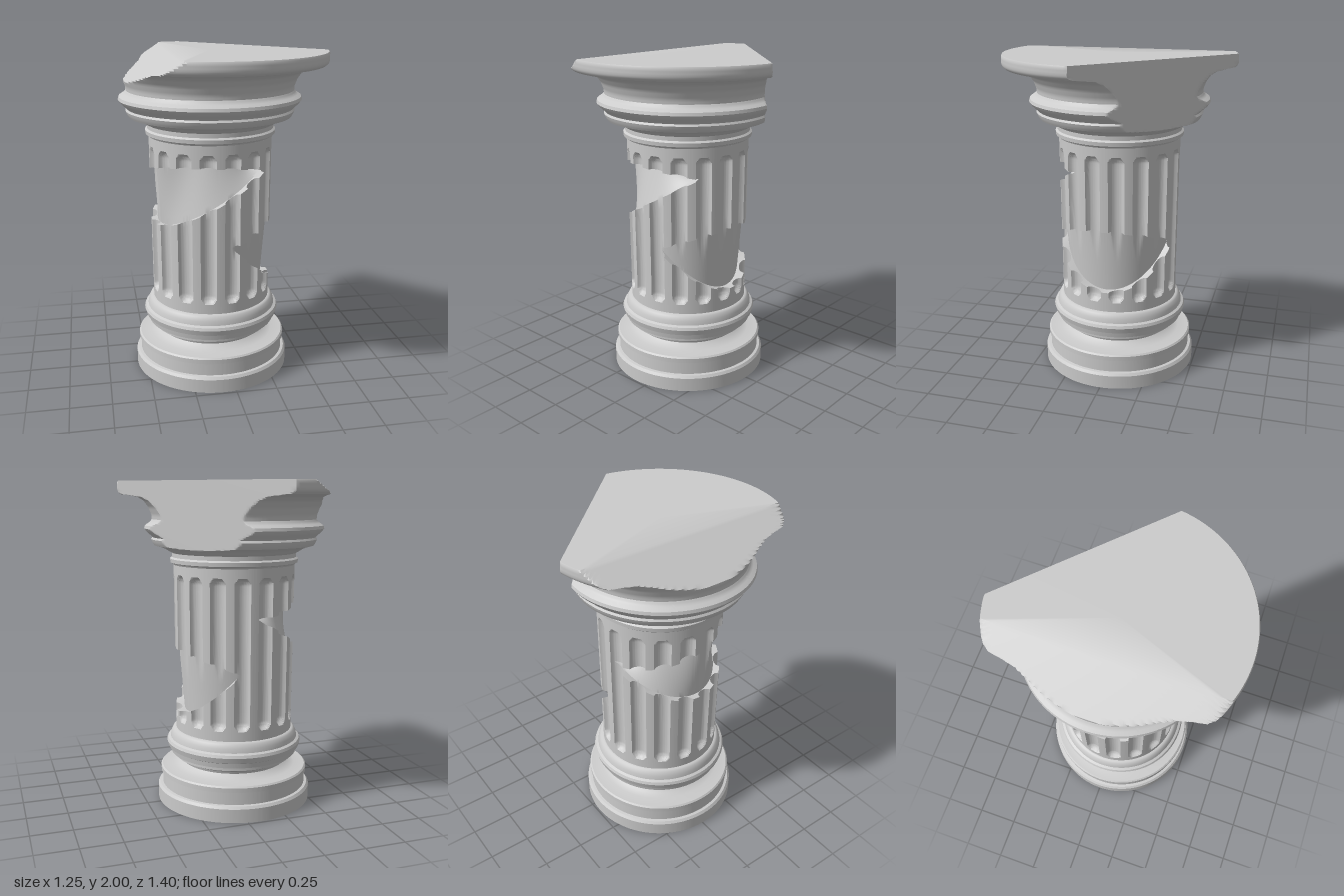
import * as THREE from 'three';
import { toCreasedNormals } from 'three/addons/utils/BufferGeometryUtils.js';

const COLS = 384, AXIS_X = -0.075, DEG = Math.PI / 180;
const material = new THREE.MeshStandardMaterial({ color: 0xcccccc });

// Skin a stack of rows; each row maps an angle (0 = +x, 90 deg = +z) to [radius, height].
function skin(name, rows) {
  const grid = rows.map(row => Array.from({ length: COLS }, (_, i) => {
    const a = i / COLS * Math.PI * 2, [r, y] = row(a);
    return new THREE.Vector3(r * Math.cos(a), y, r * Math.sin(a));
  }));
  const pos = [], t = new THREE.Triangle();
  const face = (a, b, c) => {
    t.set(a, b, c);
    if (t.getArea() > 1e-9) for (const p of [a, b, c]) pos.push(p.x, p.y, p.z);
  };
  for (let j = 0; j < grid.length - 1; j++) {
    for (let i = 0; i < COLS; i++) {
      const k = (i + 1) % COLS;
      face(grid[j][i], grid[j + 1][i], grid[j + 1][k]);
      face(grid[j][i], grid[j + 1][k], grid[j][k]);
    }
  }
  const geo = new THREE.BufferGeometry();
  geo.setAttribute('position', new THREE.Float32BufferAttribute(pos, 3));
  const mesh = new THREE.Mesh(toCreasedNormals(geo, 0.55), material);
  mesh.name = name;
  return mesh;
}

// Split a profile into short steps so that breaks have enough rows.
function refine(profile, step) {
  const out = [profile[0]];
  for (let i = 1; i < profile.length; i++) {
    const [r0, y0] = profile[i - 1], [r1, y1] = profile[i];
    const n = Math.max(1, Math.ceil(Math.hypot(r1 - r0, y1 - y0) / step));
    for (let k = 1; k <= n; k++) out.push([r0 + (r1 - r0) * k / n, y0 + (y1 - y0) * k / n]);
  }
  return out;
}

// Base: plinth drum, fillet, hollow and torus
const BASE = [
  [0, 0], [0.487, 0], [0.487, 0.085], [0.475, 0.1], [0.458, 0.103], [0.456, 0.178],
  [0.467, 0.182], [0.467, 0.21], [0.458, 0.219], [0.39, 0.221], [0.352, 0.232], [0.33, 0.25],
  [0.335, 0.265], [0.36, 0.279], [0.372, 0.283], [0.372, 0.3], [0.4, 0.31], [0.405, 0.34],
  [0.419, 0.347], [0.428, 0.38], [0.421, 0.397], [0.405, 0.405], [0.4, 0.43], [0.388, 0.455],
  [0.378, 0.463], [0.367, 0.465],
];

// Capital: neck rings, echinus, hollow and broad round slab
const CAPITAL = [
  [0.375, 1.5], [0.38, 1.508], [0.393, 1.514], [0.395, 1.537], [0.383, 1.547], [0.383, 1.572],
  [0.402, 1.582], [0.425, 1.597], [0.45, 1.608], [0.49, 1.618], [0.5, 1.635], [0.508, 1.655],
  [0.5, 1.667], [0.515, 1.682], [0.535, 1.7], [0.55, 1.72], [0.545, 1.738], [0.515, 1.758],
  [0.503, 1.775], [0.505, 1.8], [0.522, 1.845], [0.55, 1.884], [0.585, 1.906], [0.64, 1.917],
  [0.685, 1.922], [0.7, 1.935], [0.705, 1.95], [0.705, 1.99], [0.7, 2],
];

// Two breaks in the capital: a steep slice at the back and a sloping chip at one side
function brokenCapital(r, y, a) {
  const slice = Math.cos(a + Math.PI / 4), chip = -Math.cos(a);
  if (y > 1.59 && slice > 0.01) r = Math.min(r, (0.417 + (2 - y) * 0.06) / slice);
  if (y > 1.75 && chip > 0.01) r = Math.min(r, (0.235 + (2 - y) / 0.6) / chip);
  return r;
}

// Shaft radius with sixteen round-ended flutes
function fluted(a, y) {
  const pitch = 22.5 * DEG;
  const u = ((a % pitch) / pitch - 0.5) * 3;
  const v = Math.max(0, 0.575 - y, y - 1.395) / 0.05;
  return 0.367 + 0.008 * (y - 0.465) - 0.038 * Math.sqrt(Math.max(0, 1 - u * u - v * v));
}

// Lower break: wedge-shaped dent on the +x side
const lowerBreak = {
  edges(a) {
    const x = Math.max(0, 0.37 * Math.cos(a) + AXIS_X);
    return [0.87 - 0.95 * x, 0.87 + 0.38 * x];
  },
  floor: (a, t, y) => 0.315 + 0.08 * (y - 0.62),
};

// Upper break: long wedge round the front, the -x side and the back
const upperBreak = {
  edges(a) {
    const x = 0.37 * Math.cos(a), z = 0.37 * Math.sin(a);
    const low = 1.178 + 0.537 * x - 0.103 * z, high = 1.28 - 0.059 * x + 0.222 * z;
    return low < high ? [low, high] : [(low + high) / 2, (low + high) / 2];
  },
  floor(a, t) {
    const ridge = Math.exp(-(((a / DEG - 165) / 25) ** 2));
    return 0.332 + t * (0.035 * ridge - 0.07 * (1 - ridge));
  },
};

// Rows of the shaft bend to follow the edges of the breaks
function shaftRows() {
  const rows = [];
  const span = (n, from, to, floor) => {
    for (let k = 0; k <= n; k++) {
      rows.push(a => {
        const t = k / n, y = from(a) + (to(a) - from(a)) * t;
        const r = fluted(a, y);
        return [floor ? Math.min(r, floor(a, t, y)) : r, y];
      });
    }
  };
  const at = y => () => y;
  const low = b => a => b.edges(a)[0], high = b => a => b.edges(a)[1];
  span(1, at(0.465), at(0.525));
  span(6, at(0.525), at(0.575));
  span(4, at(0.575), low(lowerBreak));
  span(6, low(lowerBreak), high(lowerBreak), lowerBreak.floor);
  span(5, high(lowerBreak), low(upperBreak));
  span(8, low(upperBreak), high(upperBreak), upperBreak.floor);
  span(3, high(upperBreak), at(1.395));
  span(6, at(1.395), at(1.445));
  span(1, at(1.445), at(1.5));
  return rows;
}

export function createModel() {
  const column = new THREE.Group();
  column.name = 'brokenColumn';

  const base = skin('base', BASE.map(([r, y]) => () => [r, y]));
  const shaft = skin('shaft', shaftRows());

  const capitalRows = refine(CAPITAL, 0.014).map(([r, y]) => a => [brokenCapital(r, y, a), y]);
  capitalRows.push(() => [0, 2]);
  const capital = skin('capital', capitalRows);

  column.add(base, shaft, capital);
  for (const part of column.children) part.position.x = AXIS_X;
  return column;
}
